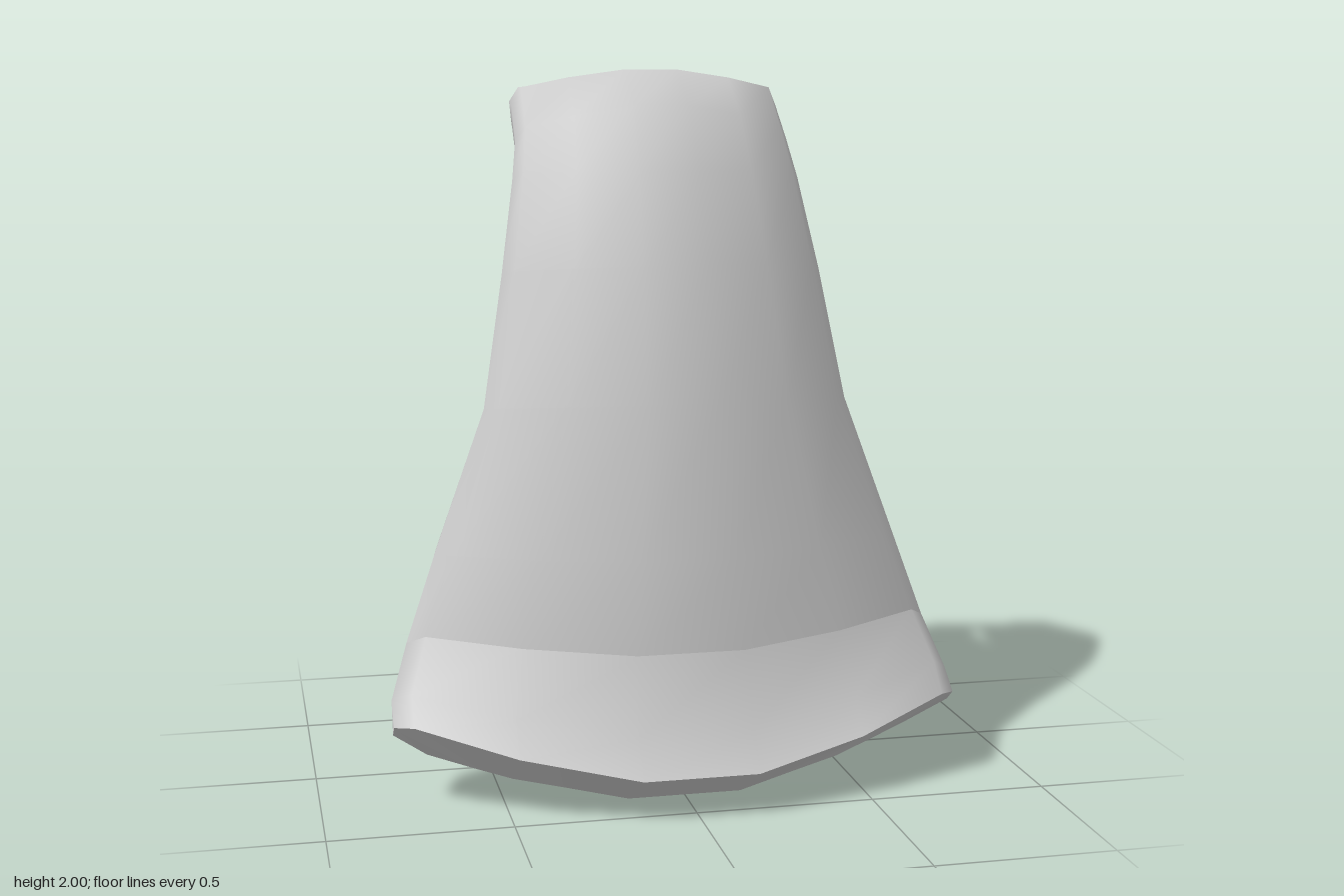
import * as THREE from 'three';
import { toCreasedNormals } from 'three/addons/utils/BufferGeometryUtils.js';

const mix = THREE.MathUtils.lerp;

// Half cross-section (+x side): outer face, rounded rim, then inner face.
// oc/os = outer centre/side, is/ic = inner side/centre, each as [y, z].
function flap(x0, x1, oc, os, is, ic) {
  const between = (u, a, b, t) => [mix(x0, x1, u), mix(a[0], b[0], t), mix(a[1], b[1], t)];
  return [
    between(0, oc, os, 0), between(0.5, oc, os, 0.44), between(0.92, oc, os, 1),
    between(1, os, is, 0.25), between(0.98, os, is, 0.6), between(0.79, os, is, 1),
    between(0.61, ic, is, 0.95), between(0.45, ic, is, 0.5), between(0.25, ic, is, 0.14),
    between(0, ic, is, 0),
  ];
}

const body = (w, ...corners) => flap(0.2 * w, w, ...corners);
const flip = ([x, y, z]) => [-x, y, z];

// Collects quads, optionally mirrored in x, and turns them into a mesh
class Skin {
  positions = [];

  quad(a, b, c, d) {
    this.positions.push(...a, ...b, ...c, ...a, ...c, ...d);
  }

  both(a, b, c, d) {
    this.quad(a, b, c, d);
    this.quad(flip(b), flip(a), flip(d), flip(c));
  }

  // Rows of the plate: both halves joined by front and back centre strips
  plate(rows) {
    for (let i = 0; i < rows.length - 1; i++) {
      const a = rows[i], b = rows[i + 1];
      for (let j = 0; j < 9; j++) this.both(a[j], a[j + 1], b[j + 1], b[j]);
      this.quad(flip(a[0]), a[0], b[0], flip(b[0]));
      this.quad(a[9], flip(a[9]), flip(b[9]), b[9]);
    }
  }

  mesh(name) {
    const geometry = new THREE.BufferGeometry();
    geometry.setAttribute('position', new THREE.Float32BufferAttribute(this.positions, 3));
    const mesh = new THREE.Mesh(
      toCreasedNormals(geometry, 1.15),
      new THREE.MeshStandardMaterial({ color: 0xcccccc }),
    );
    mesh.name = name;
    return mesh;
  }
}

export function createModel() {
  const group = new THREE.Group();

  // Cross-sections from the flared hem up to the shoulder bend
  const rows = [
    body(0.8, [0.12, 0.563], [0.245, 0.36], [0.11, 0.18], [0, 0.35]),
    body(0.8, [0.22, 0.485], [0.32, 0.29], [0.2, 0.08], [0.12, 0.25]),
    body(0.75, [0.43, 0.43], [0.46, 0.22], [0.35, 0.02], [0.36, 0.2]),
    body(0.665, [0.68, 0.4], [0.68, 0.2], [0.66, -0.02], [0.68, 0.19]),
    body(0.52, [1.1, 0.335], [1.08, 0.17], [1.05, -0.01], [1.08, 0.165]),
    body(0.457, [1.47, 0.245], [1.45, 0.1], [1.4, -0.05], [1.42, 0.09]),
    body(0.413, [1.72, 0.15], [1.72, 0.02], [1.62, -0.12], [1.65, 0]),
    body(0.395, [1.9, 0.045], [1.84, -0.05], [1.7, -0.15], [1.72, -0.08]),
    body(0.39, [2, -0.1], [1.95, -0.16], [1.75, -0.23], [1.78, -0.19]),
  ];
  const bottom = rows[0], top = rows[rows.length - 1];

  // Rounded corners and back edge of the hem
  bottom.splice(3, 6,
    [0.8, 0.235, 0.31], [0.8, 0.2, 0.265], [0.7, 0.11, 0.18],
    [0.57, 0.073, 0.22], [0.47, 0.048, 0.255], [0.32, 0.025, 0.3]);

  // Flared hem with its closed underside
  const hem = new Skin();
  hem.plate(rows.slice(0, 3));
  for (let k = 0; k < 4; k++) hem.both(bottom[9 - k], bottom[8 - k], bottom[k + 1], bottom[k]);
  hem.quad(flip(bottom[9]), bottom[9], bottom[0], flip(bottom[0]));
  group.add(hem.mesh('flaredHem'));

  // Curved plate and the end wall of the slot between the flaps
  const shell = new Skin();
  shell.plate(rows.slice(2));
  shell.quad(flip(top[0]), top[0], top[9], flip(top[9]));

  // Pair of flaps hooking backwards and down, running on from the plate
  const flaps = [
    top,
    flap(0.07, 0.388, [1.98, -0.22], [1.95, -0.23], [1.79, -0.25], [1.8, -0.25]),
    flap(0.058, 0.285, [1.95, -0.41], [1.945, -0.41], [1.84, -0.385], [1.85, -0.39]),
    flap(0.03, 0.125, [1.705, -0.565], [1.7, -0.56], [1.68, -0.53], [1.68, -0.53]),
  ];
  for (let i = 0; i < flaps.length - 1; i++) {
    const a = flaps[i], b = flaps[i + 1];
    for (let j = 0; j < 10; j++) shell.both(a[j], a[(j + 1) % 10], b[(j + 1) % 10], b[j]);
  }
  const tip = flaps[flaps.length - 1];
  for (let k = 0; k < 4; k++) shell.both(tip[k], tip[k + 1], tip[8 - k], tip[9 - k]);
  group.add(shell.mesh('curvedPlateWithHookedFlaps'));

  return group;
}
